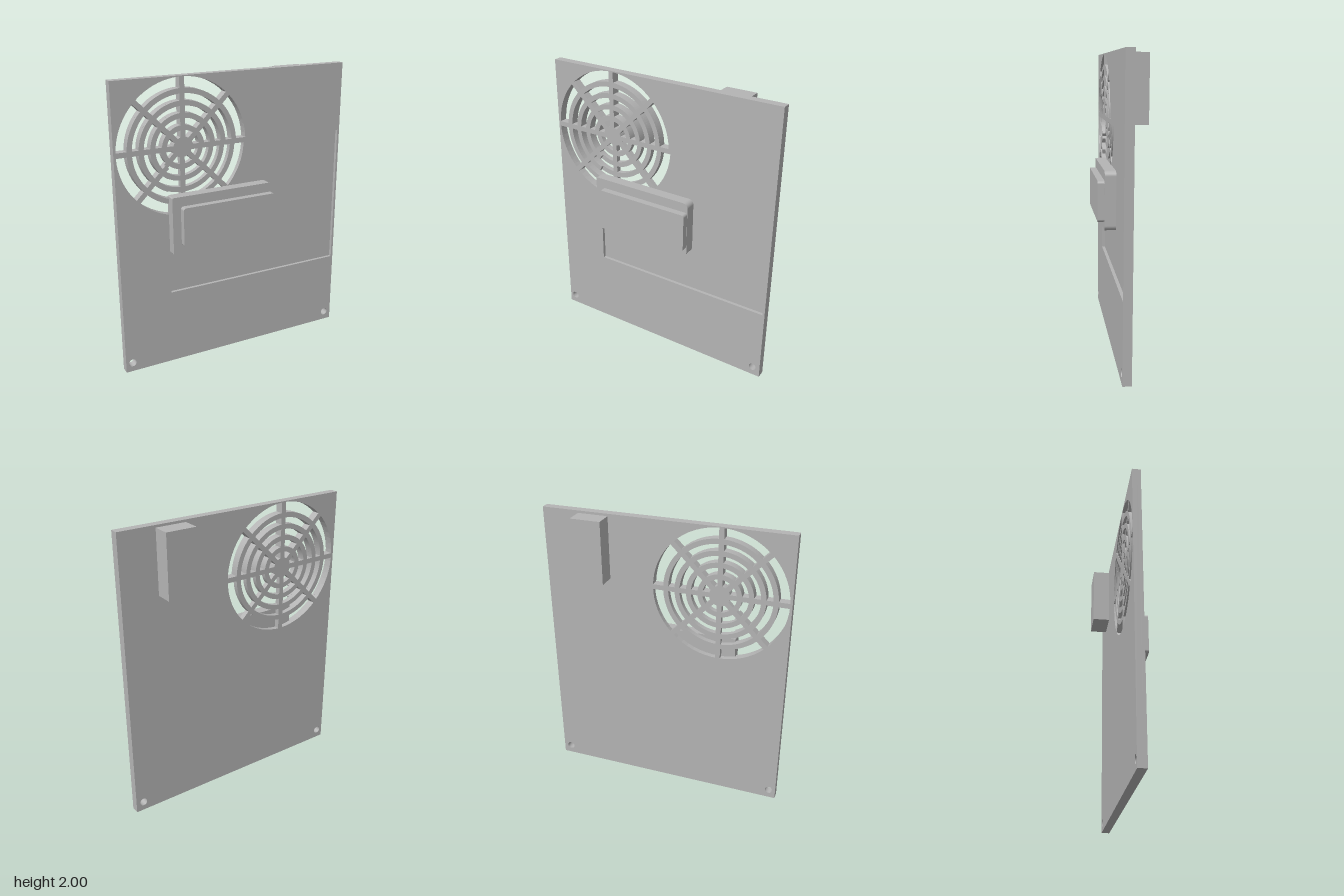
import * as THREE from 'three';

const W = 1.69, H = 1.994;                  // panel size
const BACK = -0.029, FLOOR = 0.007, FRONT = 0.029; // panel back, recess floor, panel front
const FAN = { x: -0.377, y: 1.535, r: 0.453 };
const BAR = 0.034;                          // grille bar width
const RINGS = [0.382, 0.304, 0.226, 0.148, 0.07]; // outer radii of the grille rings
const POCKET = { l: -0.493, r: 0.83, b: 0.53, t: FAN.y - BAR / 2 };
const CUT = FAN.x - POCKET.l;               // pocket edge, left of the fan centre

const grey = new THREE.MeshStandardMaterial({ color: 0xb4b4b4 });
grey.name = 'grey plastic';

function slab(parent, name, shape, z0, z1) {
  const geo = new THREE.ExtrudeGeometry(shape, { depth: z1 - z0, bevelEnabled: false, curveSegments: 32 });
  const mesh = new THREE.Mesh(geo, grey);
  mesh.position.z = z0;
  mesh.name = name;
  parent.add(mesh);
  return mesh;
}

// rectangle with separate corner radii for its left and right ends
function rect(l, b, r, t, rl = 0, rr = 0) {
  const s = new THREE.Shape();
  s.moveTo(l + rl, b);
  s.lineTo(r - rr, b);
  if (rr) s.absarc(r - rr, b + rr, rr, -Math.PI / 2, 0);
  s.lineTo(r, t - rr);
  if (rr) s.absarc(r - rr, t - rr, rr, 0, Math.PI / 2);
  s.lineTo(l + rl, t);
  if (rl) s.absarc(l + rl, t - rl, rl, Math.PI / 2, Math.PI);
  s.lineTo(l, b + rl);
  if (rl) s.absarc(l + rl, b + rl, rl, Math.PI, Math.PI * 1.5);
  s.closePath();
  return s;
}

function circle(Type, x, y, r) {
  const p = new Type();
  p.absarc(x, y, r, 0, Math.PI * 2);
  return p;
}

function panelShape() {
  const s = rect(-W / 2, 0, W / 2, H);
  for (const x of [-0.797, 0.79]) s.holes.push(circle(THREE.Path, x, 0.064, 0.027));
  return s;
}

function ringArc(parent, r, a0, a1, z0, z1) {
  const s = new THREE.Shape();
  s.absarc(0, 0, r, a0, a1, false);
  s.absarc(0, 0, r - BAR, a1, a0, true);
  s.closePath();
  slab(parent, 'grilleRing', s, z0, z1);
}

function spoke(parent, eighth, r0, z0, z1) {
  const mesh = slab(parent, 'grilleSpoke', rect(r0, -BAR / 2, FAN.r + 0.004, BAR / 2), z0, z1);
  mesh.rotation.z = eighth * Math.PI / 4;
}

export function createModel() {
  const model = new THREE.Group();
  model.name = 'ventilatedPanel';
  // the panel is turned to one side and leans very slightly
  model.rotation.set(-0.006, 1.166, -0.0026, 'YXZ');
  model.position.y = 1;
  const body = new THREE.Group();
  body.name = 'panelBody';
  body.position.y = -H / 2;
  model.add(body);

  // rear layer, open only at the fan and screw holes
  const rear = panelShape();
  rear.holes.push(circle(THREE.Path, FAN.x, FAN.y, FAN.r));
  slab(body, 'panelRear', rear, BACK, FLOOR);

  // front layer, whose opening joins the fan circle and the shallow pocket
  const front = panelShape();
  const opening = new THREE.Path();
  opening.absarc(FAN.x, FAN.y, FAN.r, -Math.asin(BAR / 2 / FAN.r), Math.PI + Math.acos(CUT / FAN.r), false);
  opening.lineTo(POCKET.l, POCKET.b);
  opening.lineTo(POCKET.r, POCKET.b);
  opening.lineTo(POCKET.r, POCKET.t);
  opening.closePath();
  front.holes.push(opening);
  slab(body, 'panelFront', front, FLOOR, FRONT);

  // fan grille: full rings behind, front rings stop at the pocket
  const grille = new THREE.Group();
  grille.name = 'fanGrille';
  grille.position.set(FAN.x, FAN.y, 0);
  body.add(grille);
  for (const r of RINGS) {
    ringArc(grille, r, 0, Math.PI, BACK, FLOOR);
    ringArc(grille, r, Math.PI, Math.PI * 2, BACK, FLOOR);
    const end = Math.PI + (r - BAR > CUT ? Math.acos(CUT / r) : 0);
    ringArc(grille, r, 0, end, FLOOR, FRONT);
  }
  for (let i = 0; i < 8; i++) {
    spoke(grille, i, 0, BACK, FLOOR);
    if (i < 5) spoke(grille, i, 0, FLOOR, FRONT);
  }
  spoke(grille, 5, CUT * Math.SQRT2, FLOOR, FRONT);
  slab(grille, 'grilleHub', circle(THREE.Shape, 0, 0, 0.026), BACK, FLOOR);

  // stepped housing standing in the pocket
  slab(body, 'housingBase', rect(-0.488, 0.824, 0.26, 1.224, 0.008, 0.035), FLOOR, 0.083);
  slab(body, 'housingCover', rect(-0.43, 0.885, 0.258, 1.158, 0.018, 0.018), 0.083, 0.129);

  // block on the back, near the top corner
  slab(body, 'rearBlock', rect(0.381, 1.55, 0.589, 1.978), -0.15, BACK);

  const root = new THREE.Group();
  root.name = 'model';
  root.add(model);
  return root;
}
